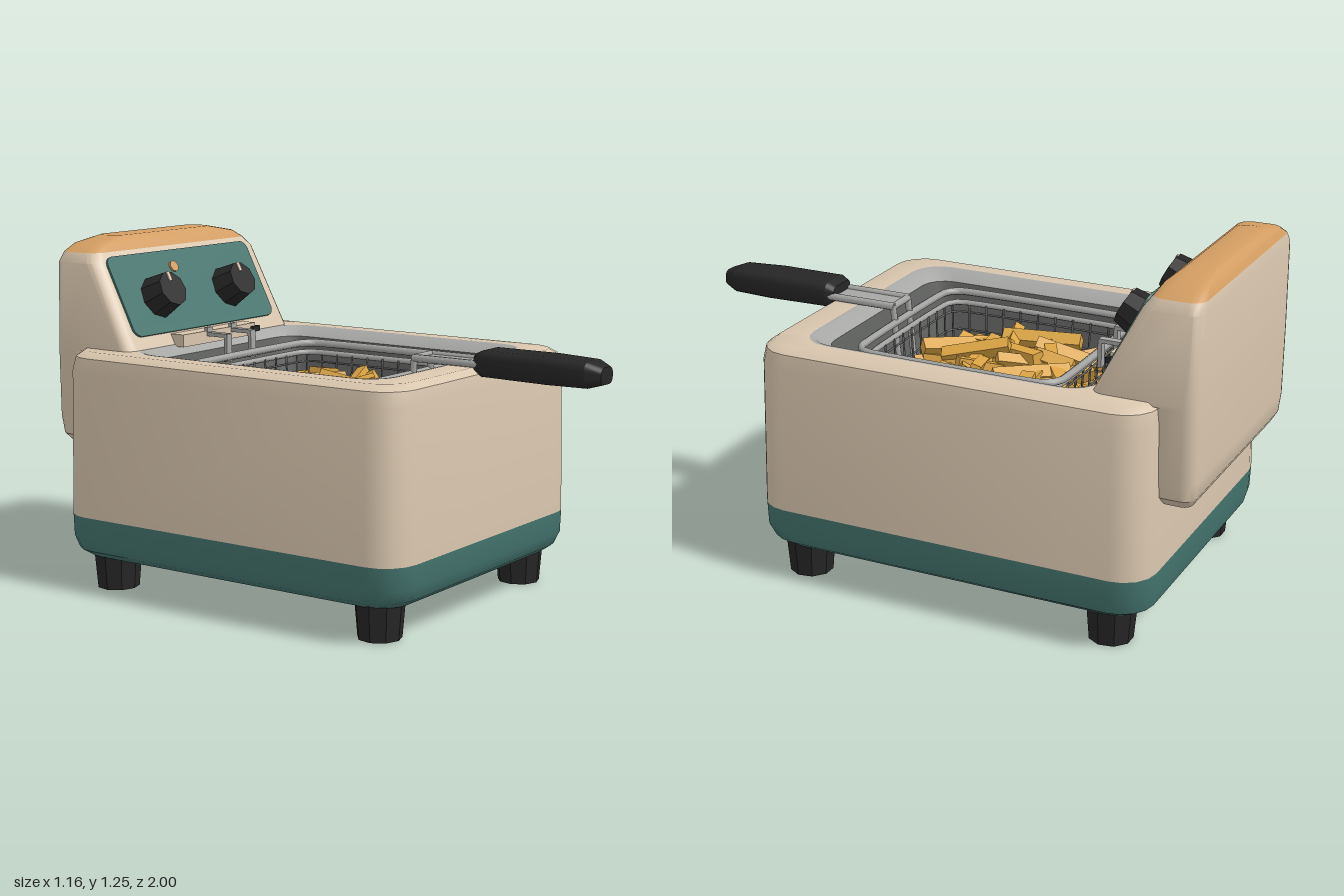
import * as THREE from 'three';
import { mergeGeometries, toCreasedNormals } from 'three/addons/utils/BufferGeometryUtils.js';

const mat = (name, color, side = THREE.FrontSide) => {
  const m = new THREE.MeshStandardMaterial({ color, side });
  m.name = name;
  return m;
};

// Points of a rounded rectangle: [half width, z back, z front, corner radius, height]
function ringPoints([hx, z0, z1, r, y], seg = 4) {
  const pts = [], cz = (z0 + z1) / 2, hz = (z1 - z0) / 2;
  [[1, 1], [-1, 1], [-1, -1], [1, -1]].forEach(([sx, sz], k) => {
    for (let i = 0; i <= seg; i++) {
      const a = (k + i / seg) * Math.PI / 2;
      pts.push(new THREE.Vector3(sx * (hx - r) + r * Math.cos(a), y, cz + sz * (hz - r) + r * Math.sin(a)));
    }
  });
  return pts;
}

// Skin a stack of rounded rectangles, optionally closing the first and last
function loft(rings, capStart = false, capEnd = false, crease = 0.6) {
  const rows = rings.map(r => ringPoints(r)), n = rows[0].length, pos = [];
  const tri = (...v) => v.forEach(p => pos.push(p.x, p.y, p.z));
  const centre = row => row.reduce((s, p) => s.add(p), new THREE.Vector3()).divideScalar(n);
  for (let j = 0; j < n; j++) {
    const k = (j + 1) % n;
    for (let i = 0; i + 1 < rows.length; i++) {
      const a = rows[i], b = rows[i + 1];
      tri(a[j], b[j], a[k]);
      tri(a[k], b[j], b[k]);
    }
    if (capStart) tri(centre(rows[0]), rows[0][j], rows[0][k]);
    const last = rows[rows.length - 1];
    if (capEnd) tri(centre(last), last[k], last[j]);
  }
  const g = new THREE.BufferGeometry();
  g.setAttribute('position', new THREE.Float32BufferAttribute(pos, 3));
  return toCreasedNormals(g, crease);
}

// Straight round wire between two points
function rod(a, b, r = 0.006, sides = 5) {
  const p = new THREE.Vector3(...a), q = new THREE.Vector3(...b), d = q.clone().sub(p);
  const g = new THREE.CylinderGeometry(r, r, d.length(), sides);
  g.applyQuaternion(new THREE.Quaternion().setFromUnitVectors(new THREE.Vector3(0, 1, 0), d.normalize()));
  return g.translate(...p.add(q).multiplyScalar(0.5).toArray());
}

const box = (w, h, d, x, y, z) => new THREE.BoxGeometry(w, h, d).translate(x, y, z);
const hoop = (ring, r) => new THREE.TubeGeometry(new THREE.CatmullRomCurve3(ringPoints(ring), true), 72, r, 6, true);

export function createModel() {
  const root = new THREE.Group();
  root.name = 'deepFryer';
  const cream = mat('cream enamel', 0xd9c6ae), teal = mat('teal', 0x45756f);
  const orange = mat('orange trim', 0xd39d62), black = mat('black plastic', 0x262626);
  const steel = mat('light steel', 0xa6a6a4), dark = mat('dark tank', 0x636563);
  const gold = mat('golden fries', 0xdba443);
  const add = (name, geo, material, parent = root) => {
    const m = new THREE.Mesh(geo, material);
    m.name = name;
    parent.add(m);
    return m;
  };

  // Housing: teal base, cream walls and top, steel rim, dark tank
  add('base', loft([
    [0.53, -0.84, 0.51, 0.1, 0.12], [0.565, -0.875, 0.545, 0.12, 0.145],
    [0.58, -0.885, 0.562, 0.12, 0.19], [0.582, -0.887, 0.565, 0.12, 0.27]], true), teal);
  add('housing', loft([
    [0.582, -0.887, 0.565, 0.12, 0.27], [0.575, -0.88, 0.56, 0.12, 0.79],
    [0.565, -0.872, 0.552, 0.12, 0.84], [0.535, -0.85, 0.525, 0.11, 0.86],
    [0.475, -0.645, 0.43, 0.11, 0.86]]), cream);
  add('tankRim', loft([
    [0.475, -0.645, 0.43, 0.11, 0.86], [0.46, -0.635, 0.415, 0.1, 0.858],
    [0.418, -0.605, 0.37, 0.09, 0.825]]), steel);
  add('tank', loft([
    [0.418, -0.605, 0.37, 0.09, 0.825], [0.405, -0.59, 0.355, 0.09, 0.72],
    [0.375, -0.55, 0.33, 0.09, 0.3]], false, true), dark);

  // Feet
  for (const x of [-0.45, 0.45]) for (const z of [0.415, -0.73]) {
    const g = new THREE.CylinderGeometry(0.088, 0.076, 0.14, 9).toNonIndexed();
    add('foot', toCreasedNormals(g, 0.5).translate(x, 0.07, z), black);
  }

  // Control head with sloping front and orange cap
  add('controlHead', loft([
    [0.42, -0.975, -0.87, 0.03, 0.5], [0.455, -0.995, -0.85, 0.045, 0.535],
    [0.465, -1, -0.85, 0.045, 0.6], [0.468, -1, -0.85, 0.045, 0.845],
    [0.468, -1, -0.64, 0.045, 0.86], [0.458, -1, -0.795, 0.045, 1.16],
    [0.435, -0.995, -0.82, 0.045, 1.195]], true), cream);
  add('headCap', loft([
    [0.435, -0.995, -0.82, 0.045, 1.195], [0.39, -0.985, -0.835, 0.045, 1.222],
    [0.27, -0.965, -0.865, 0.04, 1.245]], false, true), orange);

  // Control panel, laid on the slope
  const slope = Math.atan2(0.155, 0.3), panel = new THREE.Group();
  panel.name = 'controlPanel';
  panel.position.set(0, 1.04, -0.733);
  panel.rotation.x = -slope;
  root.add(panel);
  const w = 0.4, h = 0.155, r = 0.035, s = new THREE.Shape();
  s.absarc(w - r, h - r, r, 0, Math.PI / 2);
  s.absarc(-w + r, h - r, r, Math.PI / 2, Math.PI);
  s.absarc(-w + r, -h + r, r, Math.PI, Math.PI * 1.5);
  s.absarc(w - r, -h + r, r, Math.PI * 1.5, Math.PI * 2);
  add('panelPlate', new THREE.ExtrudeGeometry(s, { depth: 0.008, bevelEnabled: false, curveSegments: 5 })
    .translate(-0.01, 0, 0), teal, panel);
  for (const x of [-0.222, 0.182]) {
    const knob = new THREE.Group();
    knob.name = 'knob';
    knob.position.set(x, -0.02, 0);
    panel.add(knob);
    const g = new THREE.CylinderGeometry(0.066, 0.08, 0.085, 9).toNonIndexed();
    add('knobBody', toCreasedNormals(g, 0.5).rotateX(Math.PI / 2).translate(0, 0, 0.05), black, knob);
    add('knobPointer', box(0.016, 0.035, 0.006, 0, 0.046, 0.094), cream, knob);
  }
  add('indicatorLight', new THREE.CylinderGeometry(0.021, 0.021, 0.012, 12).rotateX(Math.PI / 2)
    .translate(-0.075, 0.088, 0.01), orange, panel);

  // Ledge and hooks on which the basket hangs
  add('hangerLedge', box(0.42, 0.045, 0.07, -0.01, 0.875, -0.635), cream);
  add('ledgeCatch', box(0.045, 0.02, 0.02, 0.195, 0.875, -0.6), black);
  for (const x of [-0.07, 0.07]) {
    add('hook', mergeGeometries([
      box(0.03, 0.014, 0.1, x, 0.885, -0.56), box(0.03, 0.1, 0.014, x, 0.84, -0.515),
      box(0.03, 0.03, 0.014, x, 0.895, -0.605)]), steel);
  }

  // Wire basket: frames, side wires and floor
  const basket = new THREE.Group();
  basket.name = 'basket';
  root.add(basket);
  add('outerFrame', hoop([0.362, -0.475, 0.275, 0.07, 0.815], 0.014), steel, basket);
  add('innerFrame', hoop([0.33, -0.455, 0.25, 0.06, 0.785], 0.011), steel, basket);
  const wires = [], top = [0.325, -0.45, 0.245, 0.785], low = [0.3, -0.43, 0.225, 0.45], N = 10;
  const mix = THREE.MathUtils.lerp;
  for (let i = 0; i <= N; i++) {
    const t = i / N;
    const at = (b, k) => [
      [mix(-b[0], b[0], t), b[3], b[k]], [b[0] * (k === 1 ? -1 : 1), b[3], mix(b[1], b[2], t)]];
    for (const k of [1, 2]) for (const q of [0, 1]) wires.push(rod(at(top, k)[q], at(low, k)[q], 0.004));
    wires.push(rod(at(low, 1)[0], at(low, 2)[0], 0.004), rod(at(low, 1)[1], at(low, 2)[1], 0.004));
  }
  add('meshWires', mergeGeometries(wires), dark, basket);
  for (let i = 0; i < 5; i++) {
    const t = (i + 0.5) / 5, b = top.map((v, k) => mix(v, low[k], t));
    add('meshHoop', hoop([b[0], b[1], b[2], 0.05, b[3]], 0.004), dark, basket);
  }

  // Handle arm and grip
  const arm = [box(0.09, 0.012, 0.27, -0.005, 0.868, 0.42)];
  for (const x of [-0.06, 0.05]) {
    arm.push(rod([x, 0.872, 0.285], [x, 0.872, 0.56], 0.014, 7));
    arm.push(rod([x, 0.878, 0.29], [x, 0.62, 0.265], 0.012, 7));
  }
  arm.push(rod([-0.06, 0.872, 0.29], [0.05, 0.872, 0.29], 0.013, 7));
  add('handleArm', mergeGeometries(arm), steel, basket);
  const grip = add('handleGrip', loft([
    [0.06, -0.035, 0.03, 0.02, 0.53], [0.074, -0.048, 0.042, 0.028, 0.56],
    [0.074, -0.048, 0.046, 0.028, 0.8], [0.066, -0.043, 0.046, 0.03, 0.95],
    [0.04, -0.025, 0.032, 0.022, 1]], true, true, 0.4).rotateX(Math.PI / 2), black, basket);
  grip.position.set(-0.006, 0.872, 0);

  // Heap of fries
  let seed = 7;
  const rnd = () => (seed = (seed * 16807) % 2147483647) / 2147483647;
  const fries = [];
  for (let i = 0; i < 130; i++) {
    const len = 0.14 + rnd() * 0.2, yaw = rnd() * Math.PI, t = 0.036 + rnd() * 0.018;
    const ex = 0.3 - len / 2 * Math.abs(Math.cos(yaw)), ez = 0.325 - len / 2 * Math.abs(Math.sin(yaw));
    const x = (rnd() * 2 - 1) * ex, z = (rnd() * 2 - 1) * ez;
    const y = 0.5 + 0.22 * i / 130 + 0.03 * (1 - Math.hypot(x, z) / 0.4);
    const g = new THREE.BoxGeometry(len, t, t);
    g.rotateX(rnd() * 1.5).rotateZ((rnd() - 0.5) * 0.6).rotateY(yaw).translate(x, y, z - 0.108);
    fries.push(g);
  }
  add('fries', mergeGeometries(fries), gold, basket);
  return root;
}
